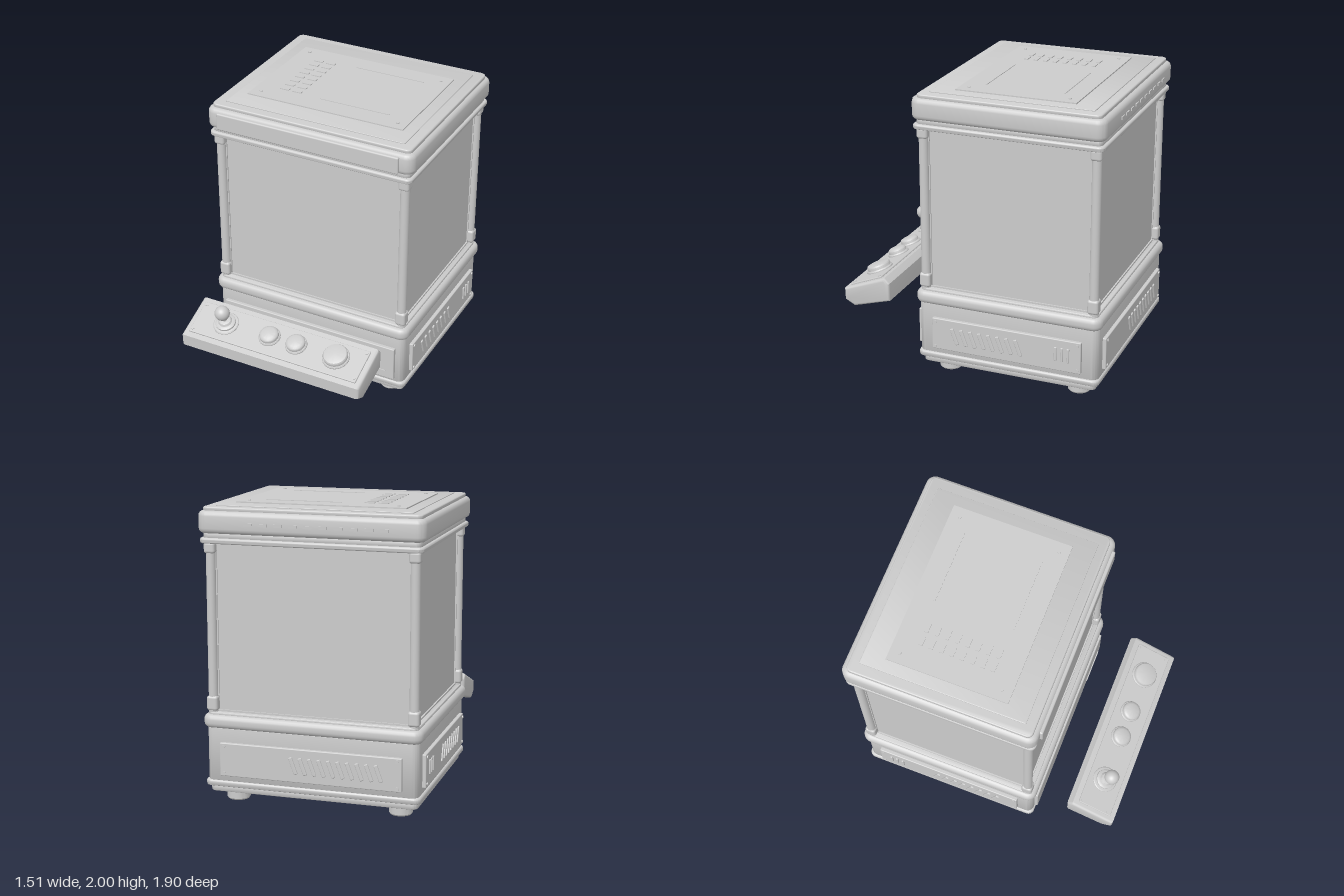
import * as THREE from 'three';
import { toCreasedNormals } from 'three/addons/utils/BufferGeometryUtils.js';
import { RoundedBoxGeometry } from 'three/addons/geometries/RoundedBoxGeometry.js';

const grey = new THREE.MeshStandardMaterial({ color: 0xcccccc });
grey.name = 'lightGrey';
const CZ = -0.285; // centre of the cabinet in z

function add(parent, name, geometry, x = 0, y = 0, z = 0) {
  const mesh = new THREE.Mesh(geometry, grey);
  mesh.name = name;
  mesh.position.set(x, y, z);
  parent.add(mesh);
  return mesh;
}

function group(parent, name, x = 0, y = 0, z = 0) {
  const g = new THREE.Group();
  g.name = name;
  g.position.set(x, y, z);
  parent.add(g);
  return g;
}

function roundedRect(hx, hy, r) {
  const s = new THREE.Shape();
  s.absarc(hx - r, hy - r, r, 0, Math.PI / 2);
  s.absarc(r - hx, hy - r, r, Math.PI / 2, Math.PI);
  s.absarc(r - hx, r - hy, r, Math.PI, Math.PI * 1.5);
  s.absarc(hx - r, r - hy, r, Math.PI * 1.5, Math.PI * 2);
  return s;
}

// Horizontal slab with rounded corners and rounded upper and lower rims
function slab(parent, name, hx, hz, y0, y1, bevel, corner = 0.03) {
  const geo = new THREE.ExtrudeGeometry(roundedRect(hx - bevel, hz - bevel, corner), {
    depth: y1 - y0 - 2 * bevel, bevelEnabled: true, bevelSize: bevel,
    bevelThickness: bevel, bevelSegments: 4, curveSegments: 6,
  });
  geo.rotateX(-Math.PI / 2);
  return add(parent, name, toCreasedNormals(geo, 0.7), 0, y0 + bevel, CZ);
}

const box = (w, h, d) => new THREE.BoxGeometry(w, h, d);

// Round button or ring from a profile of [radius, height] pairs
function lathe(points) {
  const geo = new THREE.LatheGeometry(points.map(p => new THREE.Vector2(...p)), 36);
  return toCreasedNormals(geo, 0.6);
}

// Four screw heads at the corners of a plate facing local +z
function screws(parent, hx, hy, z) {
  for (const sx of [-1, 1]) for (const sy of [-1, 1]) {
    const screw = add(parent, 'screw', new THREE.CylinderGeometry(0.011, 0.011, 0.008, 12), sx * hx, sy * hy, z);
    screw.rotation.x = Math.PI / 2;
  }
}

// Service plate facing local +z, with slanted louvres
function ventPlate(parent, name, hx, first, step, count, lean) {
  const g = group(parent, name);
  add(g, 'plate', new RoundedBoxGeometry(hx * 2, 0.225, 0.03, 2, 0.006), 0, 0.317, 0.01);
  for (let i = 0; i < count; i++) {
    const slat = add(g, 'louvre', new RoundedBoxGeometry(0.026, 0.12, 0.02, 2, 0.006), lean * (first + i * step), 0.317, 0.025);
    slat.rotation.z = lean * 0.35;
  }
  return g;
}

function buildBase(parent) {
  const g = group(parent, 'base');
  for (const x of [-0.565, 0.565]) for (const z of [0.185, -0.75]) {
    add(g, 'foot', lathe([[0, 0], [0.07, 0], [0.078, 0.01], [0.078, 0.085], [0, 0.085]]), x, 0, z);
  }
  slab(g, 'bottomPlate', 0.71, 0.615, 0.08, 0.13, 0.008);
  slab(g, 'skirt', 0.735, 0.645, 0.122, 0.165, 0.014);
  slab(g, 'lowerBody', 0.722, 0.637, 0.16, 0.53, 0.01, 0.04);
  slab(g, 'collar', 0.746, 0.657, 0.52, 0.61, 0.034);
  slab(g, 'collarStep', 0.715, 0.625, 0.6, 0.625, 0.005);

  // Side plates with louvres and a small group of upright bars
  for (const s of [1, -1]) {
    const side = ventPlate(g, 'sideVent', 0.53, -0.365, 0.065, 8, s);
    for (const u of [0.355, 0.4, 0.442]) {
      add(side, 'bar', new RoundedBoxGeometry(0.018, 0.1, 0.02, 2, 0.005), s * u, 0.325, 0.025);
    }
    screws(group(side, 'screws', 0, 0.317, 0), 0.505, 0.09, 0.028);
    side.position.set(s * 0.722, 0, CZ);
    side.rotation.y = s * Math.PI / 2;
  }
  const back = ventPlate(g, 'backVent', 0.62, -0.11, 0.064, 10, 1);
  screws(group(back, 'screws', 0, 0.317, 0), 0.59, 0.09, 0.028);
  back.position.set(0, 0, CZ - 0.637);
  back.rotation.y = Math.PI;

  // Front door
  add(g, 'frontDoor', new RoundedBoxGeometry(1.33, 0.25, 0.03, 2, 0.006), 0, 0.317, 0.362);
  add(g, 'doorTrim', box(0.25, 0.008, 0.008), 0.48, 0.25, 0.38);
}

function buildDisplay(parent) {
  const g = group(parent, 'displayCase');
  const hx = 0.683, hz = 0.592;
  add(g, 'glassBox', box(2 * hx - 0.02, 1.14, 2 * hz - 0.02), 0, 1.185, CZ);
  for (const sx of [-1, 1]) for (const sz of [-1, 1]) {
    const post = group(g, 'cornerPost', sx * hx, 0, CZ + sz * hz);
    add(post, 'rod', new THREE.CylinderGeometry(0.032, 0.032, 1.12, 24), 0, 1.18, 0);
    add(post, 'lowerSocket', new RoundedBoxGeometry(0.076, 0.1, 0.076, 3, 0.018), 0, 0.682, 0);
    add(post, 'upperSocket', new RoundedBoxGeometry(0.076, 0.075, 0.076, 3, 0.018), 0, 1.715, 0);
    // Slim glazing strips beside the post
    add(post, 'frontStrip', box(0.012, 1.1, 0.012), -sx * 0.033, 1.18, -sz * 0.008);
    add(post, 'sideStrip', box(0.012, 1.1, 0.012), -sx * 0.008, 1.18, -sz * 0.033);
  }
  for (const y of [0.63, 1.74]) {
    add(g, 'glassRail', box(2 * hx, 0.014, 2 * hz), 0, y, CZ);
  }
}

function buildRoof(parent) {
  const g = group(parent, 'roof');
  slab(g, 'lowerTrim', 0.745, 0.652, 1.745, 1.782, 0.014);
  slab(g, 'neck', 0.725, 0.632, 1.775, 1.82, 0.006);
  slab(g, 'header', 0.756, 0.66, 1.81, 1.957, 0.034);
  slab(g, 'topStep', 0.727, 0.626, 1.945, 1.98, 0.008);
  slab(g, 'topPanel', 0.655, 0.561, 1.97, 1.986, 0.003, 0.005);
  add(g, 'headerSign', new RoundedBoxGeometry(1.33, 0.12, 0.05, 2, 0.01), 0, 1.878, 0.368);

  // Access cover with screws, grille and two long seams
  const cover = group(g, 'accessCover', 0, 1.988, CZ);
  add(cover, 'coverPlate', box(1.146, 0.012, 0.825));
  const heads = group(cover, 'screws');
  screws(heads, 0.505, 0.345, 0.008);
  heads.rotation.x = -Math.PI / 2;
  for (let i = 0; i < 8; i++) for (const x of [-0.378, -0.284]) {
    add(cover, 'grilleSlat', box(0.066, 0.012, 0.026), x, 0.006, -0.243 + i * 0.0697);
  }
  for (const z of [-0.275, 0.265]) add(cover, 'seam', box(0.51, 0.008, 0.009), 0.155, 0.006, z);

  // Row of small vents across the back of the header
  for (let i = 0; i < 10; i++) {
    add(g, 'rearVent', box(0.055, 0.018, 0.014), -0.5 + i * 0.1, 1.88, CZ - 0.66);
  }
}

function buildControls(parent) {
  const g = group(parent, 'controlPanel');
  // Wedge-shaped housing, inset so the bevel rounds it out to full size
  const b = 0.02;
  const outline = [[0.92, 0.427], [0.922, 0.485], [0.64, 0.597], [0.618, 0.575], [0.618, 0.47], [0.865, 0.398]];
  const shape = new THREE.Shape(outline.map(p => new THREE.Vector2(...p)));
  const geo = new THREE.ExtrudeGeometry(shape, {
    depth: 1.35 - 2 * b, bevelEnabled: true, bevelSize: b, bevelThickness: b, bevelSegments: 4,
  });
  geo.translate(0, 0, -(1.35 - 2 * b) / 2);
  geo.rotateY(-Math.PI / 2);
  add(g, 'housing', toCreasedNormals(geo, 0.6));

  // Sloping deck: local y is the deck normal
  const deck = group(g, 'deck', 0, 0.564, 0.788);
  deck.rotation.x = 0.378;
  add(deck, 'deckPlate', new RoundedBoxGeometry(1.27, 0.014, 0.255, 2, 0.005), 0, 0, 0.002);
  const heads = group(deck, 'screws');
  screws(heads, 0.615, 0.103, 0.008);
  heads.rotation.x = -Math.PI / 2;

  // Joystick
  const stick = group(deck, 'joystick', -0.408, 0, -0.005);
  add(stick, 'stickBase', lathe([[0, 0], [0.09, 0], [0.09, 0.012], [0.084, 0.018], [0.07, 0.02], [0.07, 0.032],
    [0.064, 0.037], [0.048, 0.039], [0.04, 0.052], [0.026, 0.056], [0, 0.056]]));
  add(stick, 'shaft', new THREE.CylinderGeometry(0.015, 0.015, 0.11, 20), 0, 0.07, 0);
  add(stick, 'ball', new THREE.SphereGeometry(0.052, 32, 20), 0, 0.133, 0);

  // Push buttons: collar and domed cap
  for (const [x, r] of [[-0.07, 0.076], [0.133, 0.076], [0.432, 0.094]]) {
    const button = group(deck, 'button', x, 0, -0.008);
    add(button, 'buttonCollar', lathe([[0, 0], [r, 0], [r, 0.014], [r - 0.006, 0.022], [0, 0.022]]));
    add(button, 'buttonCap', lathe([[r - 0.01, 0.01], [r - 0.01, 0.04], [r - 0.016, 0.049], [r * 0.6, 0.055], [0, 0.058]]));
  }
}

export function createModel() {
  const model = new THREE.Group();
  model.name = 'tabletopArcadeCase';
  buildBase(model);
  buildDisplay(model);
  buildRoof(model);
  buildControls(model);
  return model;
}
